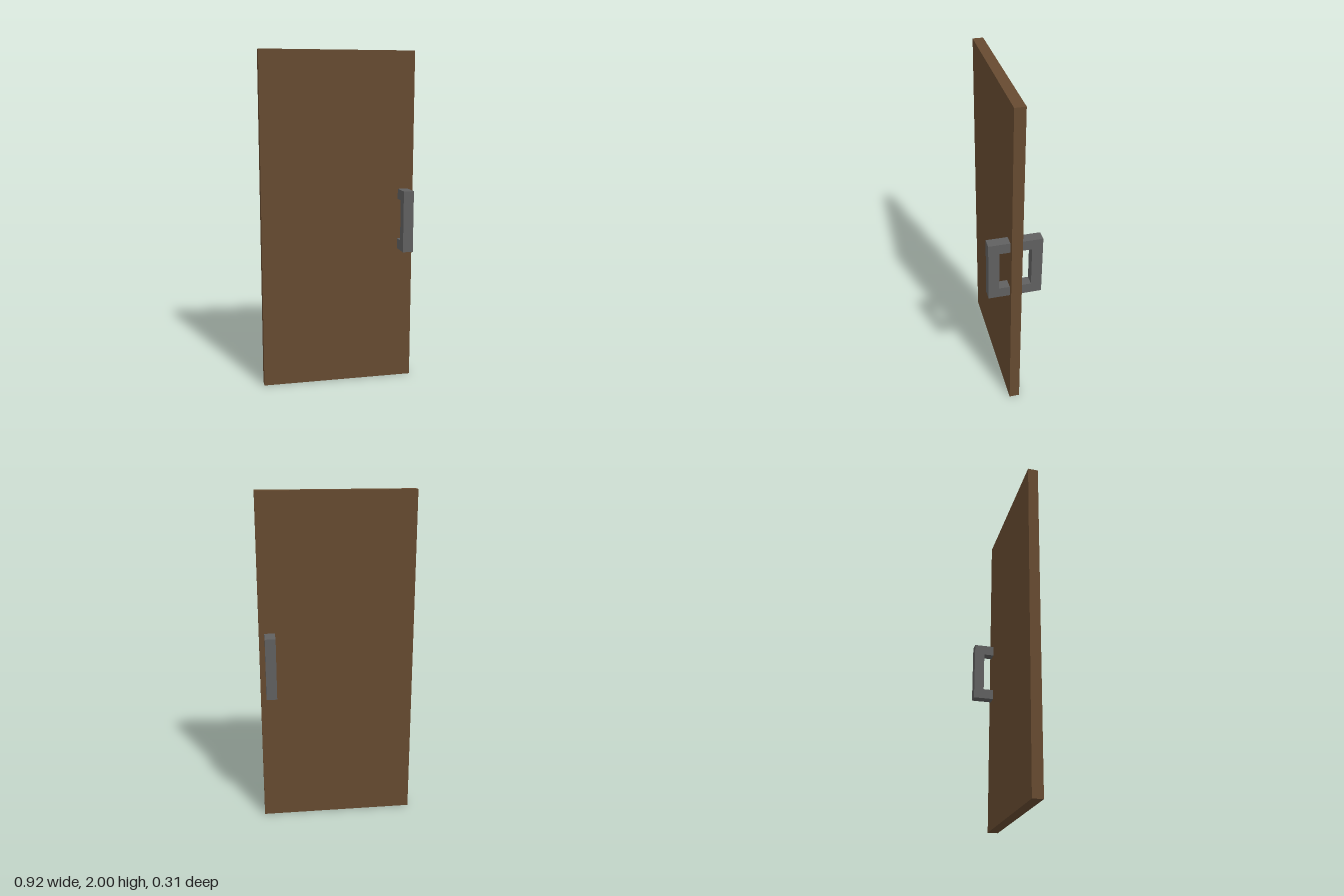
import * as THREE from 'three';

const wood = new THREE.MeshStandardMaterial({ color: 0x664a30 });
const metal = new THREE.MeshStandardMaterial({ color: 0x606060 });

const T = 0.0615;          // panel thickness and handle bar width
const OUT = 0.154;         // reach of the handle from the centre plane
const BOTTOM = 0.82, TOP = 1.186;

// C-shaped pull handle: outline in (z, y), extruded along x
function makeHandle(name) {
  const z0 = T / 2, z1 = OUT - T;
  const shape = new THREE.Shape([
    [z0, BOTTOM], [OUT, BOTTOM], [OUT, TOP], [z0, TOP],
    [z0, TOP - T], [z1, TOP - T], [z1, BOTTOM + T], [z0, BOTTOM + T],
  ].map(([z, y]) => new THREE.Vector2(z, y)));
  const geometry = new THREE.ExtrudeGeometry(shape, { depth: T, bevelEnabled: false });
  geometry.translate(0, 0, -T / 2);
  geometry.rotateY(-Math.PI / 2);
  const handle = new THREE.Mesh(geometry, metal);
  handle.name = name;
  handle.position.x = 0.398;
  return handle;
}

export function createModel() {
  const model = new THREE.Group();
  model.name = 'door';

  // Door panel
  const panel = new THREE.Mesh(new THREE.BoxGeometry(0.92, 2, T), wood);
  panel.name = 'doorPanel';
  panel.position.y = 1;
  model.add(panel);

  // One handle on each side of the panel
  const front = makeHandle('frontHandle');
  const back = makeHandle('backHandle');
  back.rotation.y = Math.PI;
  model.add(front, back);

  return model;
}
